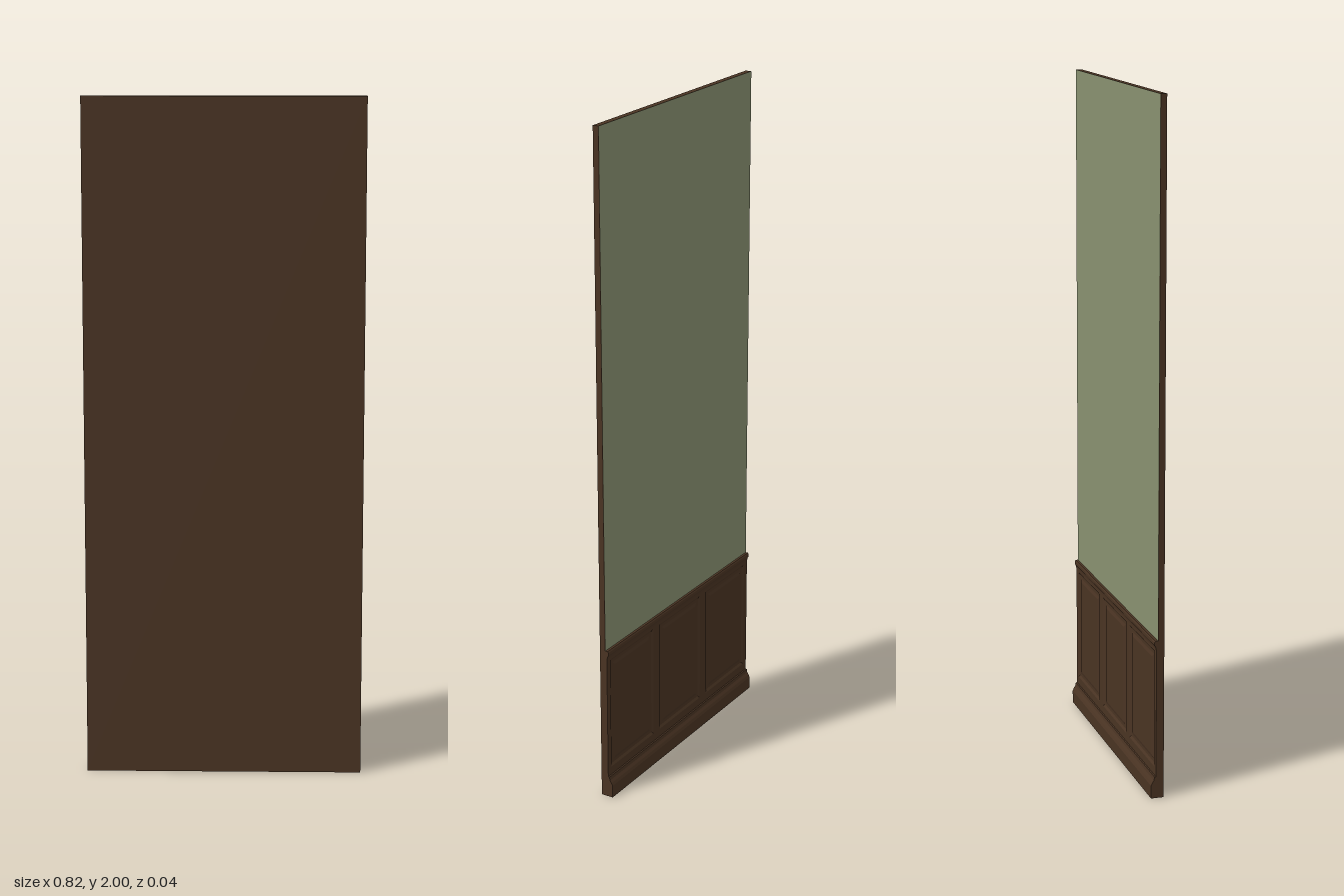
import * as THREE from 'three';

const W = 0.816, H = 2, RAIL_TOP = 0.472;

// Nested rectangles [inset, depth] joined into a moulded panel, closed by a flat field
function panelGeometry(w, h, rings) {
  const pos = [];
  const corners = ([i, d]) => {
    const a = w / 2 - i, b = h / 2 - i;
    return [[-a, -b, d], [a, -b, d], [a, b, d], [-a, b, d]];
  };
  const quad = (a, b, c, d) => pos.push(...a, ...b, ...c, ...a, ...c, ...d);
  for (let r = 0; r < rings.length - 1; r++) {
    const o = corners(rings[r]), n = corners(rings[r + 1]);
    for (let k = 0; k < 4; k++) quad(o[k], o[(k + 1) % 4], n[(k + 1) % 4], n[k]);
  }
  quad(...corners(rings[rings.length - 1]));
  const g = new THREE.BufferGeometry();
  g.setAttribute('position', new THREE.Float32BufferAttribute(pos, 3));
  g.computeVertexNormals();
  return g;
}

// Profile of [depth, height] points run along the full width of the wall
function mouldingGeometry(points) {
  const shape = new THREE.Shape(points.map(([d, y]) => new THREE.Vector2(d, y)));
  const g = new THREE.ExtrudeGeometry(shape, { depth: W, bevelEnabled: false });
  g.rotateY(-Math.PI / 2);
  g.translate(W / 2, 0, 0);
  return g;
}

export function createModel() {
  const wood = new THREE.MeshStandardMaterial({ color: 0x4a3423 });
  wood.name = 'dark wood';
  const paint = new THREE.MeshStandardMaterial({ color: 0x8a9271 });
  paint.name = 'sage green paint';

  const model = new THREE.Group();
  model.name = 'wallPanel';
  // The decorated side is built facing +z, then turned to face -z
  const wall = new THREE.Group();
  wall.name = 'wall';
  wall.rotation.y = Math.PI;
  model.add(wall);

  const add = (name, geometry, material, x = 0, y = 0, z = 0) => {
    const m = new THREE.Mesh(geometry, material);
    m.name = name;
    m.position.set(x, y, z);
    wall.add(m);
  };

  // Backing board and painted upper wall
  add('backingBoard', new THREE.BoxGeometry(W, H, 0.018), wood, 0, H / 2, -0.009);
  add('paintedWall', new THREE.PlaneGeometry(W, H - RAIL_TOP), paint, 0, (H + RAIL_TOP) / 2, 0.0006);

  // Wainscot frame with three openings
  const bay = W / 3, openW = bay - 0.037, y0 = 0.09, y1 = 0.438, depth = 0.005;
  const frame = new THREE.Shape([
    new THREE.Vector2(-W / 2, 0.03), new THREE.Vector2(W / 2, 0.03),
    new THREE.Vector2(W / 2, 0.46), new THREE.Vector2(-W / 2, 0.46),
  ]);
  const bays = [-bay, 0, bay];
  for (const x of bays) {
    const a = x - openW / 2, b = x + openW / 2;
    frame.holes.push(new THREE.Path([
      new THREE.Vector2(a, y0), new THREE.Vector2(a, y1),
      new THREE.Vector2(b, y1), new THREE.Vector2(b, y0),
    ]));
  }
  add('wainscotFrame', new THREE.ExtrudeGeometry(frame, { depth, bevelEnabled: false }), wood);

  // Raised panels set in the openings
  const rings = [[0, depth], [0.007, 0.001], [0.016, 0.001], [0.026, 0.004]];
  const panel = panelGeometry(openW, y1 - y0, rings);
  bays.forEach((x, i) => add(`raisedPanel${i + 1}`, panel, wood, x, (y0 + y1) / 2));

  // Baseboard and chair rail
  add('baseboard', mouldingGeometry([
    [0, 0], [0.0195, 0], [0.0195, 0.038], [0.016, 0.046], [0.011, 0.054], [0.009, 0.064], [0, 0.066],
  ]), wood);
  add('chairRail', mouldingGeometry([
    [0, 0.446], [0.006, 0.446], [0.007, 0.453], [0.0105, 0.459], [0.0105, 0.468], [0.008, RAIL_TOP], [0, RAIL_TOP],
  ]), wood);

  return model;
}
